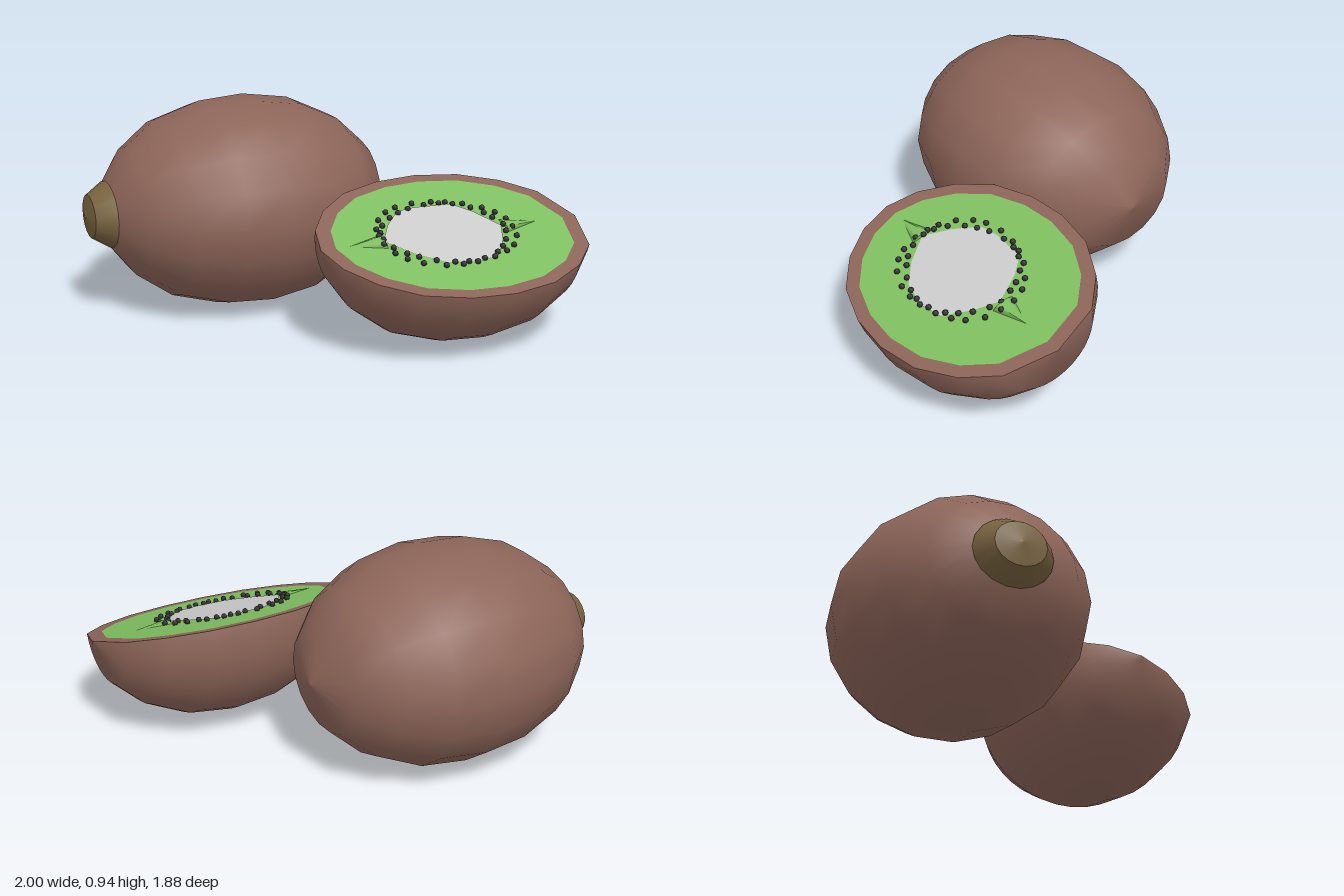
import * as THREE from 'three';

const mat = (color) => new THREE.MeshStandardMaterial({ color, roughness: 0.9 });
const skin = mat(0x8d6559);
const flesh = mat(0x7ebf60);
const seedMat = mat(0x2c2c2c);
const stemMat = mat(0x78633f);
const coreMat = mat(0xcccccc);

// Fruit outline: [position along the long axis, radius as a fraction of the widest]
const OUTLINE = [
  [-0.725, 0], [-0.685, 0.31], [-0.58, 0.6], [-0.42, 0.84], [-0.21, 0.97],
  [0, 1], [0.22, 0.93], [0.41, 0.74], [0.55, 0.47], [0.62, 0],
];

function add(group, name, geometry, material) {
  const mesh = new THREE.Mesh(geometry, material);
  mesh.name = name;
  group.add(mesh);
  return mesh;
}

// Lathe turned so that its axis runs along x; a sweep of PI gives the lower half
function latheX(points, segments, sweep = Math.PI * 2) {
  const profile = points.map(([x, r]) => new THREE.Vector2(r, x));
  return new THREE.LatheGeometry(profile, segments, 0, sweep).rotateZ(-Math.PI / 2);
}

// Closed outline of the cut face
function cutOutline(sx, sz, dx) {
  const upper = OUTLINE.map(([x, r]) => new THREE.Vector2(x * sx + dx, r * sz));
  const lower = upper.slice(1, -1).reverse().map((p) => new THREE.Vector2(p.x, -p.y));
  return [...upper, ...lower];
}

const flat = (shape) => new THREE.ShapeGeometry(shape).rotateX(-Math.PI / 2);

function wholeFruit() {
  const g = new THREE.Group();
  g.name = 'wholeFruit';
  add(g, 'wholeSkin', latheX(OUTLINE, 18).scale(1, 0.479, 0.54), skin);

  // Stem stub with a separate, almost flat end
  const stem = latheX([[-0.77, 0.11], [-0.69, 0.17], [-0.64, 0.17]], 18);
  add(g, 'stem', stem.scale(1, 0.88, 1), stemMat);
  const end = latheX([[-0.79, 0], [-0.77, 0.11]], 18);
  add(g, 'stemEnd', end.scale(1, 0.88, 1), stemMat);
  g.position.set(-0.21, 0.475, -0.4);
  return g;
}

function halfFruit() {
  const g = new THREE.Group();
  g.name = 'halfFruit';
  const L = 0.922;
  const R = 0.48;

  // Skin bowl and the flat rim around the flesh
  add(g, 'halfSkin', latheX(OUTLINE, 18, Math.PI).scale(L, 0.45, R), skin);
  const inner = cutOutline(L * 0.89, R * 0.885, -0.005);
  const rim = new THREE.Shape(cutOutline(L, R, 0));
  rim.holes.push(new THREE.Path(inner));
  add(g, 'rim', flat(rim), skin);
  add(g, 'flesh', flat(new THREE.Shape(inner)), flesh);

  // Pale core, an uneven flat patch
  const core = [
    [-0.38, 0], [-0.31, 0.11], [-0.22, 0.205], [-0.13, 0.22], [0.05, 0.21], [0.12, 0.13],
    [0.19, 0], [0.14, -0.11], [0.06, -0.215], [-0.05, -0.235], [-0.19, -0.205], [-0.29, -0.12],
  ].map(([x, z]) => new THREE.Vector2(x, z));
  add(g, 'core', flat(new THREE.Shape(core)).translate(0, 0.004, 0), coreMat);

  // Low pointed ridges at both ends of the core
  for (const [x, side] of [[-0.46, 1], [0.285, -1]]) {
    const ridge = new THREE.ConeGeometry(0.05, 0.16, 6).rotateZ(side * Math.PI / 2);
    add(g, 'fleshRidge', ridge.scale(1, 0.3, 1).translate(x, 0, 0), flesh);
  }

  // Seeds in two staggered rings around the core
  const seeds = new THREE.Group();
  seeds.name = 'seeds';
  const seedGeo = new THREE.SphereGeometry(0.013, 8, 6);
  const count = 48;
  for (let i = 0; i < count; i++) {
    const a = (i / count) * Math.PI * 2 + 0.03 * Math.sin(i * 5.3);
    const k = (i % 2 ? 1.05 : 0.95) + 0.03 * Math.sin(i * 2.7);
    const seed = add(seeds, 'seed', seedGeo, seedMat);
    seed.position.set(-0.085 + 0.3 * k * Math.cos(a), 0.008, 0.235 * k * Math.sin(a));
  }
  g.add(seeds);

  // Tip the cut face toward the front
  g.rotation.x = 0.286;
  g.position.set(0.425, 0.475, 0.475);
  return g;
}

export function createModel() {
  const model = new THREE.Group();
  model.name = 'cutFruit';
  model.add(wholeFruit(), halfFruit());
  return model;
}
